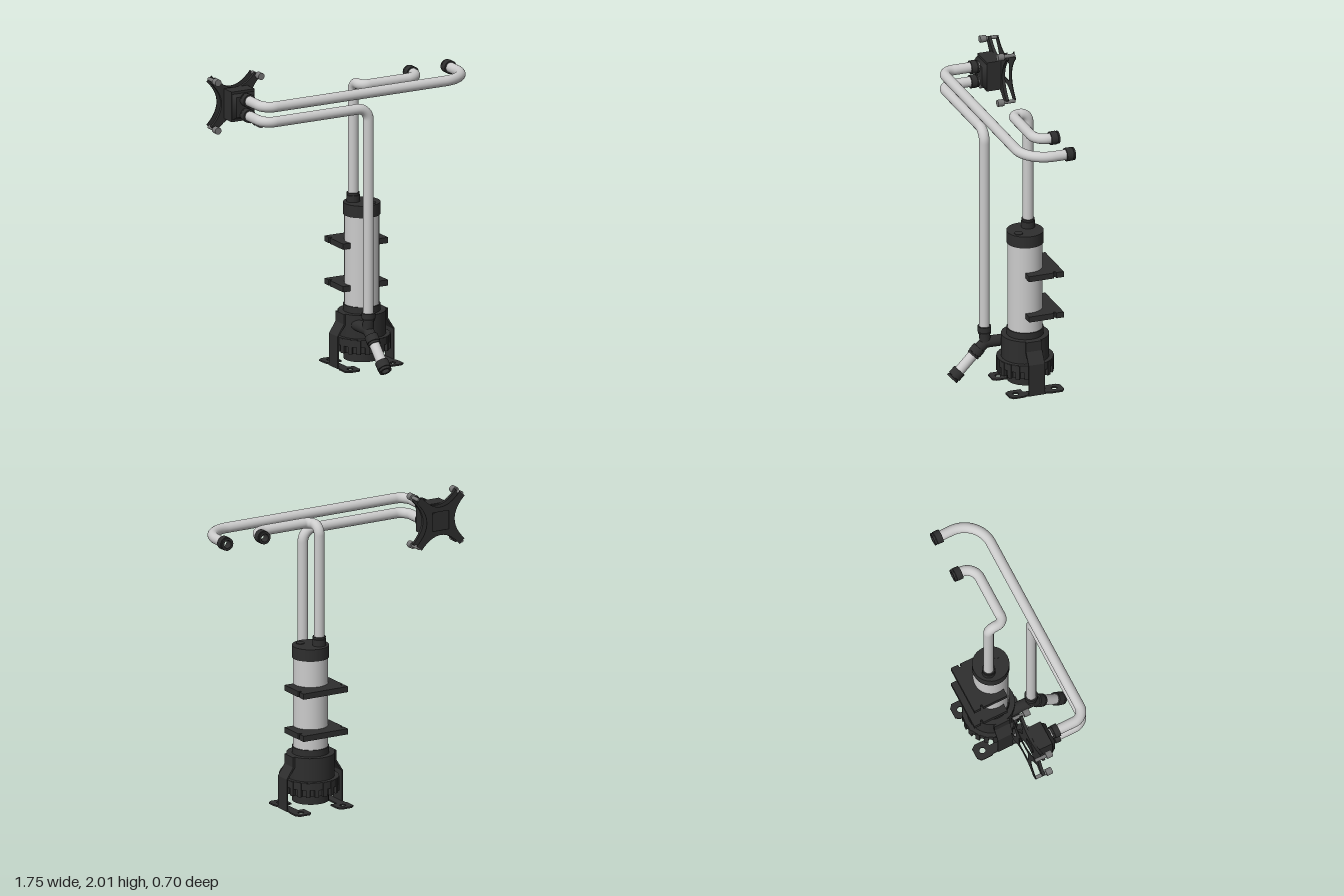
import * as THREE from 'three';

const grey = new THREE.MeshStandardMaterial({ color: 0xcccccc });
const dark = new THREE.MeshStandardMaterial({ color: 0x2e2e2e, side: THREE.DoubleSide });
const metal = new THREE.MeshStandardMaterial({ color: 0x777777 });
const V = (x, y, z) => new THREE.Vector3(x, y, z);
const CX = 0.16, CZ = -0.15; // axis of the reservoir
const PIPE_R = 0.034;

export function createModel() {
  const model = new THREE.Group();
  const add = (name, geo, mat, parent = model) => {
    const m = new THREE.Mesh(geo, mat);
    m.name = name;
    parent.add(m);
    return m;
  };

  // Solid or bored part of revolution between two points; profile is [radius, fraction]
  const turned = (name, a, b, profile, mat, parent) => {
    const dir = b.clone().sub(a), len = dir.length();
    const pts = [];
    profile.forEach(([r, t], i) => {
      const p = new THREE.Vector2(r, t * len);
      pts.push(p);
      if (i > 0 && i < profile.length - 1) pts.push(p.clone()); // crisp edges
    });
    const geo = new THREE.LatheGeometry(pts, 32).toNonIndexed();
    geo.computeVertexNormals();
    const m = add(name, new THREE.LatheGeometry(pts, 32), mat, parent);
    m.position.copy(a);
    m.quaternion.setFromUnitVectors(V(0, 1, 0), dir.normalize());
    return m;
  };
  const rod = (name, a, b, r, mat, parent) =>
    turned(name, a, b, [[0, 0], [r, 0], [r, 1], [0, 1]], mat, parent);
  const fitting = (name, a, b, r = 0.044) =>
    turned(name, a, b, [[0.026, 0], [r, 0], [r, 0.72], [r - 0.006, 0.74], [r - 0.006, 0.8],
      [r - 0.002, 0.82], [r - 0.002, 1], [0.026, 1], [0.026, 0]], dark);
  const vertical = (name, y0, y1, r, mat) => rod(name, V(CX, y0, CZ), V(CX, y1, CZ), r, mat);

  // Pipe along straight runs with rounded corners; radii holds one value per corner
  const pipe = (name, pts, radii) => {
    const path = new THREE.CurvePath();
    let from = pts[0];
    for (let i = 1; i < pts.length - 1; i++) {
      const r = radii[i - 1], c = pts[i];
      const p = c.clone().add(pts[i - 1].clone().sub(c).setLength(r));
      const q = c.clone().add(pts[i + 1].clone().sub(c).setLength(r));
      path.add(new THREE.LineCurve3(from, p));
      const k = 0.552;
      path.add(new THREE.CubicBezierCurve3(p, p.clone().lerp(c, k), q.clone().lerp(c, k), q));
      from = q;
    }
    path.add(new THREE.LineCurve3(from, pts[pts.length - 1]));
    add(name, new THREE.TubeGeometry(path, 220, PIPE_R, 20), grey);
  };

  const outline = (pts) => new THREE.Shape(pts.map(([x, y]) => new THREE.Vector2(x, y)));
  const hole = (x, y, r) => new THREE.Path().absarc(x, y, r, 0, Math.PI * 2, true);
  // Flat plate lying at height y, drawn in x and -z
  const flat = (name, shape, y, h) => {
    const g = new THREE.ExtrudeGeometry(shape, { depth: h, bevelEnabled: false, curveSegments: 20 });
    const m = add(name, g.rotateX(-Math.PI / 2), dark);
    m.position.y = y;
    return m;
  };

  // Reservoir and pump housing
  vertical('reservoirTube', 0.39, 1.0, 0.113, grey);
  vertical('reservoirCap', 0.995, 1.075, 0.12, dark);
  vertical('lowerCollar', 0.35, 0.4, 0.12, dark);
  vertical('pumpBody', 0.19, 0.356, 0.155, dark);
  vertical('pumpRing', 0.15, 0.2, 0.183, dark);
  vertical('pumpRingCore', 0.105, 0.155, 0.166, dark);
  vertical('pumpBase', 0.036, 0.11, 0.118, dark);
  rod('fillPlug', V(0.2, 1.07, -0.09), V(0.2, 1.079, -0.09), 0.028, dark);
  for (let i = 0; i < 20; i++) {
    const a = (i / 20) * Math.PI * 2;
    const rib = add('pumpRingRib', new THREE.BoxGeometry(0.028, 0.095, 0.03), dark);
    rib.position.set(CX + Math.sin(a) * 0.171, 0.15, CZ + Math.cos(a) * 0.171);
    rib.rotation.y = a;
  }

  // Clamps: back bar, narrow neck and a saddle around the tube
  for (const y of [0.5, 0.783]) {
    const s = outline([[0, 0.35], [0, 0.3], [0.02, 0.297], [0.02, 0.285], [0, 0.283], [0, 0.112], [0.055, 0.112]]);
    s.absarc(CX, -CZ, 0.112, Math.PI - 0.35, 0.35, true);
    for (const [x, yy] of [[0.265, 0.112], [0.332, 0.112], [0.332, 0.283], [0.312, 0.285],
      [0.312, 0.297], [0.332, 0.3], [0.332, 0.35]]) s.lineTo(x, yy);
    flat('reservoirClamp', s, y, 0.038);
  }

  // Stand: two bent uprights on slotted feet
  for (const side of [-1, 1]) {
    const X = (d) => CX + side * d; // d measured outward from the axis
    const upright = outline([[X(0.21), 0], [X(0.21), 0.215], [X(0.163), 0.29], [X(0.163), 0.356],
      [X(0.15), 0.356], [X(0.15), 0.287], [X(0.201), 0.212], [X(0.201), 0]]);
    add('standUpright', new THREE.ExtrudeGeometry(upright, { depth: 0.11, bevelEnabled: false }), dark)
      .position.z = -0.205;
    const half = [[0.19, 0.345], [0.215, 0.325], [0.215, 0.25], [0.207, 0.235]];
    const inner = [[0.145, 0.235], [0.1, 0.235], [0.1, 0.32], [0.12, 0.345]];
    const mir = (l) => l.map(([d, z]) => [d, 0.315 - z]).reverse();
    const foot = outline([...half, ...mir(half), ...mir(inner), ...inner].map(([d, z]) => [X(d), z]));
    for (const z of [0.29, 0.025]) foot.holes.push(hole(X(0.157), z, 0.02));
    flat('standFoot', foot, 0, 0.01);
  }

  // Pipe from the reservoir cap
  pipe('reservoirPipe', [V(0.117, 1.07, -0.187), V(0.117, 1.87, -0.187), V(0.117, 1.87, -0.077),
    V(0.548, 1.87, -0.077), V(0.548, 1.87, -0.2)], [0.055, 0.05, 0.09]);
  fitting('capFitting', V(0.117, 1.075, -0.187), V(0.117, 1.135, -0.187));
  fitting('shortPipeFitting', V(0.548, 1.87, -0.17), V(0.548, 1.87, -0.228));

  // Long upper pipe and the return pipe running down to the pump
  pipe('longPipe', [V(-0.695, 1.87, -0.16), V(-0.695, 1.87, 0.095), V(0.827, 1.87, 0.095),
    V(0.827, 1.87, -0.2)], [0.08, 0.19]);
  fitting('longPipeFitting', V(0.827, 1.87, -0.17), V(0.827, 1.87, -0.228));
  pipe('returnPipe', [V(-0.695, 1.77, -0.16), V(-0.695, 1.77, 0.095), V(0.07, 1.77, 0.095),
    V(0.07, 0.37, 0.095)], [0.08, 0.08]);
  for (const y of [1.87, 1.77]) fitting('blockFitting', V(-0.695, y, -0.1), V(-0.695, y, -0.152));
  fitting('returnFitting', V(0.07, 0.405, 0.095), V(0.07, 0.355, 0.095));

  // Three-way joint, drain tube and its end
  const hub = V(0.07, 0.29, 0.09);
  rod('jointUpperArm', hub, V(0.07, 0.36, 0.095), 0.036, dark);
  rod('jointPumpArm', V(0.07, 0.288, -0.06), hub, 0.038, dark);
  rod('jointDrainArm', hub, V(0.07, 0.235, 0.15), 0.036, dark);
  add('jointHub', new THREE.SphereGeometry(0.038, 20, 14), dark).position.copy(hub);
  fitting('drainCollar', V(0.07, 0.258, 0.13), V(0.07, 0.21, 0.175));
  rod('drainTube', V(0.07, 0.235, 0.152), V(0.07, 0.095, 0.287), 0.034, grey);
  fitting('drainEnd', V(0.07, 0.118, 0.265), V(0.07, 0.068, 0.318));

  // Block with crossed mounting plates
  const head = new THREE.Group();
  head.name = 'mountedBlock';
  head.position.set(-0.695, 1.822, 0);
  model.add(head);
  const block = add('blockHousing', new THREE.BoxGeometry(0.17, 0.2, 0.1), dark, head);
  block.position.z = -0.235;
  const face = new THREE.CylinderGeometry(0.095, 0.12, 0.03, 4).rotateY(Math.PI / 4).rotateX(Math.PI / 2);
  add('blockFace', face, dark, head).position.z = -0.172;
  const cross = () => {
    const s = new THREE.Shape();
    const a = 0.178, b = 0.143;
    s.moveTo(b, a);
    s.quadraticCurveTo(0, 0.01, -b, a);
    s.lineTo(-a, b);
    s.quadraticCurveTo(-0.03, 0, -a, -b);
    s.lineTo(-b, -a);
    s.quadraticCurveTo(0, -0.01, b, -a);
    s.lineTo(a, -b);
    s.quadraticCurveTo(0.03, 0, a, b);
    return s;
  };
  const plate = (name, shape, z, depth) => {
    const g = new THREE.ExtrudeGeometry(shape, { depth, bevelEnabled: false, curveSegments: 16 });
    add(name, g, dark, head).position.z = z;
  };
  plate('frontCrossPlate', cross(), -0.302, 0.02);
  const back = cross();
  const w = 0.062;
  back.holes.push(new THREE.Path([[-w, -w], [-w, w], [w, w], [w, -w]].map(([x, y]) => new THREE.Vector2(x, y))));
  plate('backCrossPlate', back, -0.35, 0.005);
  rod('coldPlate', V(0, 0, -0.3), V(0, 0, -0.308), 0.05, dark, head);
  for (const x of [-0.159, 0.159]) for (const y of [-0.16, 0.16]) {
    rod('mountScrew', V(x, y, -0.347), V(x, y, -0.26), 0.012, metal, head);
    rod('mountKnob', V(x, y, -0.27), V(x, y, -0.228), 0.023, metal, head);
  }
  return model;
}
